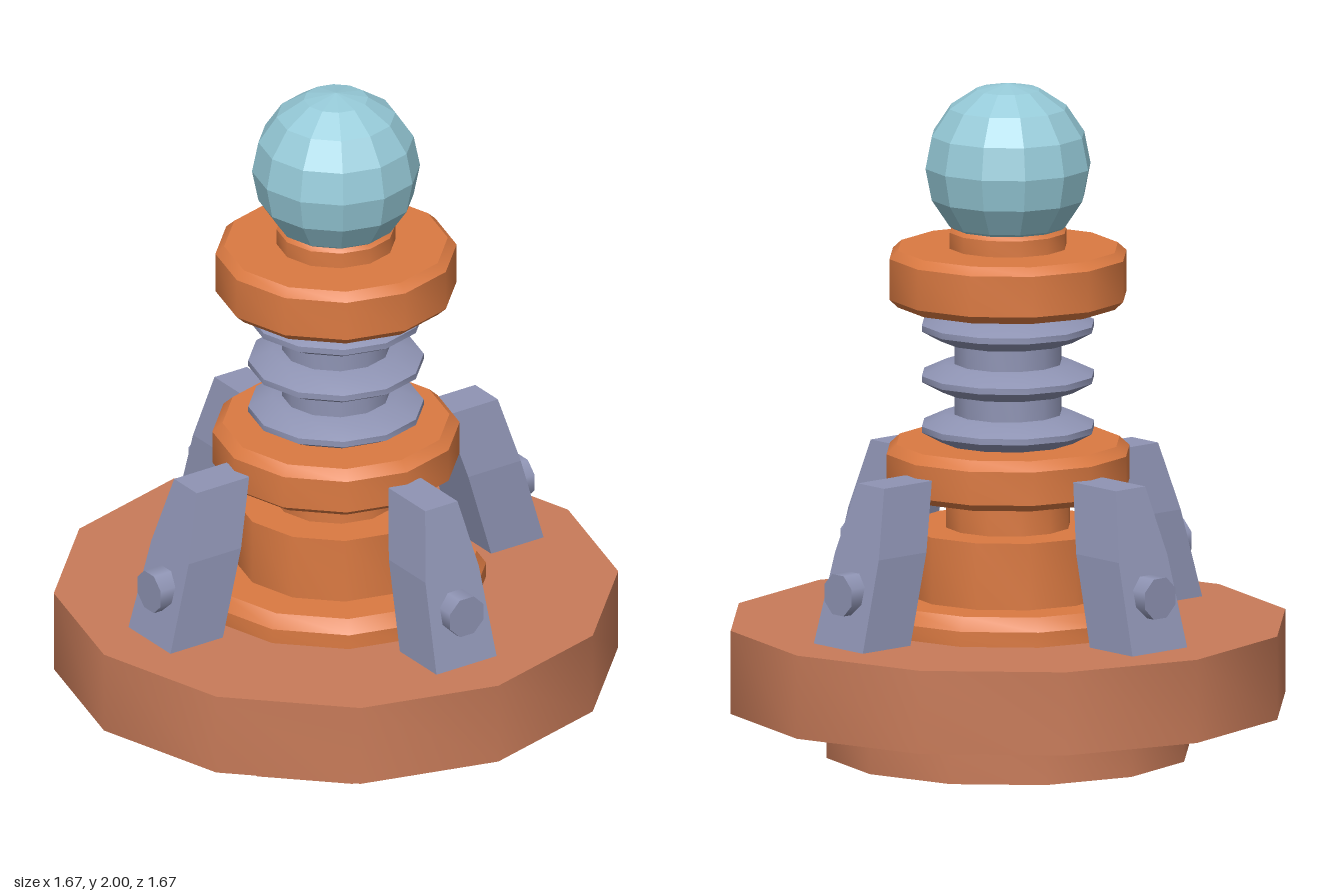
import * as THREE from 'three';
import { toCreasedNormals } from 'three/addons/utils/BufferGeometryUtils.js';

const SIDES = 12;

function material(name, color, flatShading = false) {
  const m = new THREE.MeshStandardMaterial({ color, flatShading });
  m.name = name;
  return m;
}

// Turned solid from [radius, height] pairs, closed at both ends, listed upwards.
function turned(name, mat, profile) {
  const pts = [[0, profile[0][1]], ...profile, [0, profile[profile.length - 1][1]]];
  const geo = new THREE.LatheGeometry(pts.map(([r, y]) => new THREE.Vector2(r, y)), SIDES);
  const mesh = new THREE.Mesh(toCreasedNormals(geo, THREE.MathUtils.degToRad(33)), mat);
  mesh.name = name;
  return mesh;
}

// Leaning brace: tapered outline extruded outwards, then sheared towards the column.
function braceGeometry() {
  const y0 = 0.39;
  const shape = new THREE.Shape([
    [-0.108, y0], [0.108, y0], [0.096, 0.66], [0.058, 0.862], [-0.058, 0.862], [-0.096, 0.66],
  ].map(([x, y]) => new THREE.Vector2(x, y)));
  const geo = new THREE.ExtrudeGeometry(shape, { depth: 0.188, bevelEnabled: false });
  const p = geo.attributes.position;
  for (let i = 0; i < p.count; i++) p.setZ(i, p.getZ(i) + 0.482 - 0.275 * (p.getY(i) - y0));
  geo.computeVertexNormals();
  return geo;
}

export function createModel() {
  const model = new THREE.Group();
  model.name = 'coilTower';

  const clay = material('clay', 0xc87b59);
  const copper = material('copper', 0xdb7a42);
  const steel = material('steel', 0x8f94b4);
  const glass = material('paleBlue', 0x96cad8, true);

  // Base
  model.add(turned('plinth', clay, [[0.545, 0], [0.545, 0.143]]));
  model.add(turned('baseDisc', clay, [[0.833, 0.143], [0.833, 0.392]]));

  // Lower column
  model.add(turned('columnFoot', copper, [[0.443, 0.392], [0.443, 0.437], [0.415, 0.477]]));
  model.add(turned('columnBlock', copper, [[0.3, 0.477], [0.3, 0.676]]));
  model.add(turned('columnNeck', copper, [[0.186, 0.676], [0.186, 0.79]]));
  model.add(turned('lowerCollar', copper,
    [[0.335, 0.78], [0.365, 0.802], [0.365, 0.902], [0.335, 0.93]]));

  // Coil stack
  model.add(turned('coilCore', steel, [[0.16, 0.92], [0.16, 1.35]]));
  for (const y of [0.931, 1.082, 1.233]) {
    model.add(turned('coilFin', steel,
      [[0.2, y], [0.259, y + 0.032], [0.259, y + 0.05], [0.19, y + 0.082]]));
  }

  // Upper collar, cap and globe
  model.add(turned('upperCollar', copper,
    [[0.33, 1.34], [0.356, 1.364], [0.356, 1.486], [0.33, 1.51]]));
  model.add(turned('cap', copper, [[0.175, 1.51], [0.175, 1.558], [0.163, 1.57]]));
  const globe = new THREE.Mesh(new THREE.SphereGeometry(0.248, SIDES, 8), glass);
  globe.name = 'globe';
  globe.position.y = 1.752;
  model.add(globe);

  // Four braces, each with a bolt
  const braceGeo = braceGeometry();
  const boltGeo = new THREE.CylinderGeometry(0.065, 0.065, 0.12, 8);
  boltGeo.rotateY(Math.PI / 8).rotateX(Math.PI / 2);
  for (let i = 0; i < 4; i++) {
    const support = new THREE.Group();
    support.name = 'support';
    const brace = new THREE.Mesh(braceGeo, steel);
    brace.name = 'brace';
    const bolt = new THREE.Mesh(boltGeo, steel);
    bolt.name = 'bolt';
    bolt.position.set(0, 0.552, 0.611);
    support.add(brace, bolt);
    support.rotation.y = i * Math.PI / 2;
    model.add(support);
  }

  return model;
}
